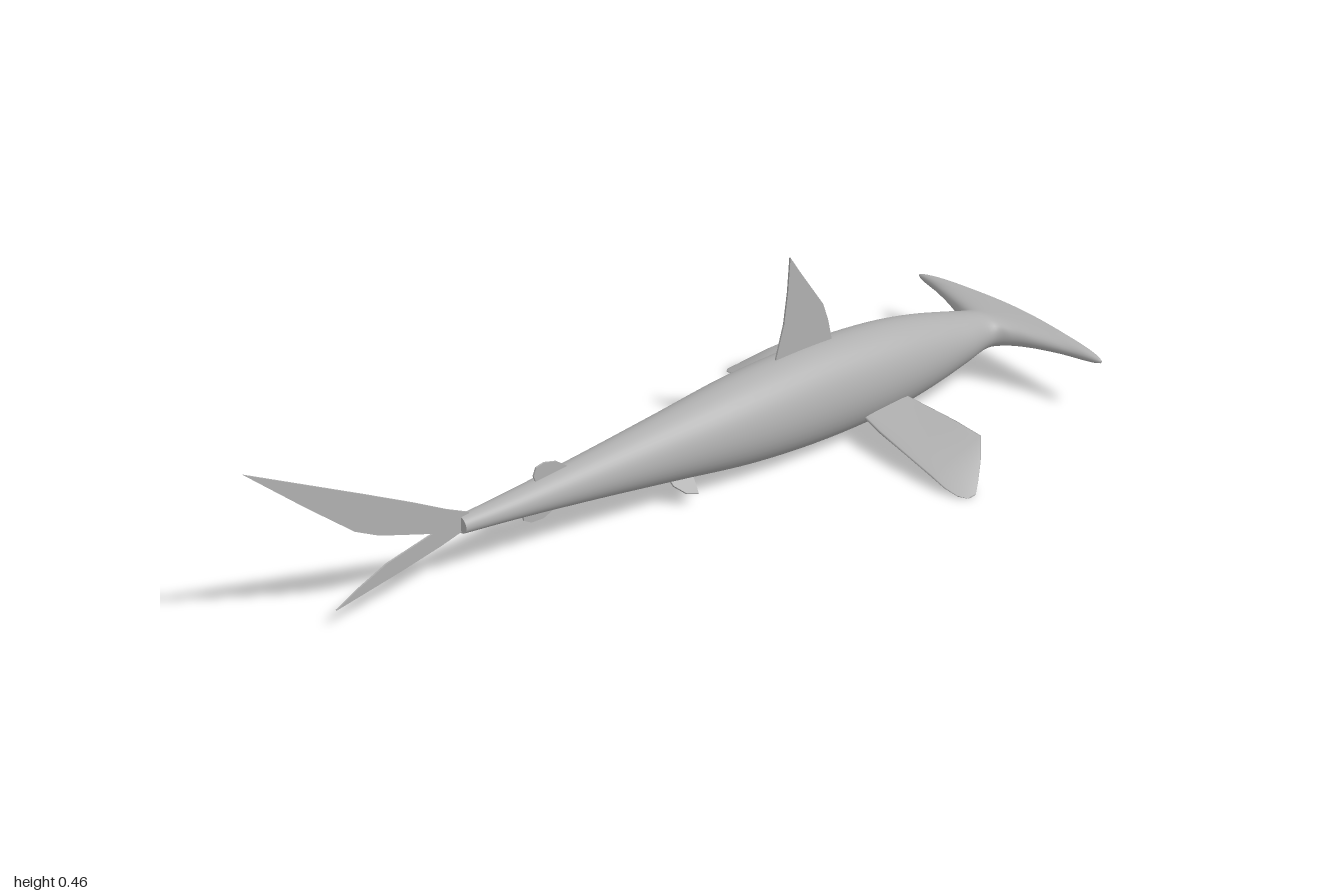
import * as THREE from 'three';

const skin = new THREE.MeshStandardMaterial({ color: 0xb0b0b0, side: THREE.DoubleSide });
skin.name = 'grey skin';

// Smooth skin over a list of closed rings, with flat caps at both ends
function loft(rings) {
  const n = rings[0].length, pos = [], idx = [];
  rings.forEach(r => r.forEach(p => pos.push(...p)));
  for (let i = 0; i < rings.length - 1; i++) {
    for (let j = 0; j < n; j++) {
      const a = i * n + j, b = i * n + (j + 1) % n;
      idx.push(a, b, a + n, b, b + n, a + n);
    }
  }
  [rings[0], rings[rings.length - 1]].forEach((r, end) => {
    const base = pos.length / 3;
    r.forEach(p => pos.push(...p));
    pos.push(...[0, 1, 2].map(k => r.reduce((s, p) => s + p[k], 0) / n));
    for (let j = 0; j < n; j++) {
      const a = base + j, b = base + (j + 1) % n;
      if (end) idx.push(a, b, base + n);
      else idx.push(b, a, base + n);
    }
  });
  const g = new THREE.BufferGeometry();
  g.setAttribute('position', new THREE.Float32BufferAttribute(pos, 3));
  g.setIndex(idx);
  g.computeVertexNormals();
  return g;
}

// Thin upright plate from an outline in the xy plane
function plate(points, depth = 0.004) {
  const shape = new THREE.Shape(points.map(p => new THREE.Vector2(...p)));
  const g = new THREE.ExtrudeGeometry(shape, { depth, bevelEnabled: false });
  g.translate(0, 0, -depth / 2);
  return g;
}

function bodyGeometry() {
  // x, half height, half width: tail stalk, trunk, then the wide flat head
  const stations = [
    [-0.52, 0.018, 0.02], [-0.4, 0.028, 0.03], [-0.2, 0.05, 0.047], [0, 0.075, 0.066],
    [0.2, 0.1, 0.086], [0.4, 0.11, 0.09], [0.58, 0.102, 0.087], [0.7, 0.084, 0.077],
    [0.8, 0.06, 0.064], [0.87, 0.042, 0.055], [0.895, 0.035, 0.085], [0.92, 0.029, 0.14],
    [0.945, 0.025, 0.215], [0.965, 0.022, 0.287], [0.975, 0.021, 0.27],
    [0.985, 0.019, 0.21], [0.994, 0.015, 0.13], [1, 0.006, 0.04],
  ];
  const curve = new THREE.CatmullRomCurve3(stations.map(s => new THREE.Vector3(...s)));
  const rings = [];
  for (let i = 0; i <= 85; i++) {
    const p = curve.getPoint(i / 85), ring = [];
    for (let j = 0; j < 40; j++) {
      const a = j / 40 * Math.PI * 2;
      ring.push([p.x, 0.128 + p.y * Math.cos(a), p.z * Math.sin(a)]);
    }
    rings.push(ring);
  }
  return loft(rings);
}

function pectoralGeometry(side) {
  // z, leading x and y, trailing x and y, thickness
  const stations = [
    [0.05, 0.6, 0.08, 0.48, 0.072, 0.022], [0.13, 0.6, 0.08, 0.466, 0.06, 0.018],
    [0.22, 0.6, 0.08, 0.458, 0.046, 0.014], [0.3, 0.598, 0.077, 0.457, 0.028, 0.01],
    [0.34, 0.56, 0.047, 0.459, 0.016, 0.007], [0.37, 0.525, 0.02, 0.467, 0.008, 0.005],
    [0.385, 0.505, 0.006, 0.482, 0.004, 0.002],
  ];
  const rings = stations.map(([z, lx, ly, tx, ty, t]) => {
    const ring = [];
    for (let j = 0; j < 20; j++) {
      const a = j / 20 * Math.PI * 2, u = Math.cos(a) / 2, v = Math.sin(a);
      ring.push([(lx + tx) / 2 + (lx - tx) * u,
        (ly + ty) / 2 + (ly - ty) * u + t * v * (v > 0 ? 0.3 : 1), z * side]);
    }
    return ring;
  });
  if (side < 0) rings.reverse();
  return loft(rings);
}

export function createModel() {
  const model = new THREE.Group();
  model.name = 'hammerheadShark';
  const add = (name, geometry) => {
    const mesh = new THREE.Mesh(geometry, skin);
    mesh.name = name;
    model.add(mesh);
    return mesh;
  };

  add('bodyAndHead', bodyGeometry());

  // Fins on the centre line
  add('dorsalFin', plate([[0.28, 0.2], [0.288, 0.238], [0.308, 0.31], [0.317, 0.38],
    [0.322, 0.458], [0.35, 0.417], [0.415, 0.326], [0.43, 0.285], [0.442, 0.235], [0.44, 0.2]]));
  add('secondDorsalFin', plate([[-0.33, 0.14], [-0.342, 0.175], [-0.335, 0.192], [-0.315, 0.197],
    [-0.285, 0.19], [-0.26, 0.172], [-0.25, 0.14]]));
  add('analFin', plate([[-0.35, 0.12], [-0.37, 0.1], [-0.368, 0.084], [-0.35, 0.074],
    [-0.32, 0.073], [-0.295, 0.084], [-0.27, 0.12]]));
  add('upperTailLobe', plate([[-0.5, 0.15], [-0.55, 0.173], [-0.63, 0.216], [-0.74, 0.272], [-1, 0.402],
    [-0.87, 0.288], [-0.765, 0.2], [-0.71, 0.172], [-0.58, 0.13], [-0.5, 0.122]]));
  add('lowerTailLobe', plate([[-0.5, 0.118], [-0.57, 0.098], [-0.66, 0.077], [-0.815, 0.045],
    [-0.76, 0.075], [-0.695, 0.105], [-0.58, 0.134], [-0.5, 0.134]]));

  // Paired fins
  for (const [side, label] of [[1, 'left'], [-1, 'right']]) {
    add(label + 'PectoralFin', pectoralGeometry(side));
    const pelvic = add(label + 'PelvicFin',
      plate([[-0.015, 0.015], [-0.012, 0], [0.01, -0.024], [0.037, -0.033], [0.043, 0.015]]));
    pelvic.position.set(0, 0.053, side * 0.033);
    pelvic.rotation.x = -0.7 * side;
  }
  return model;
}
